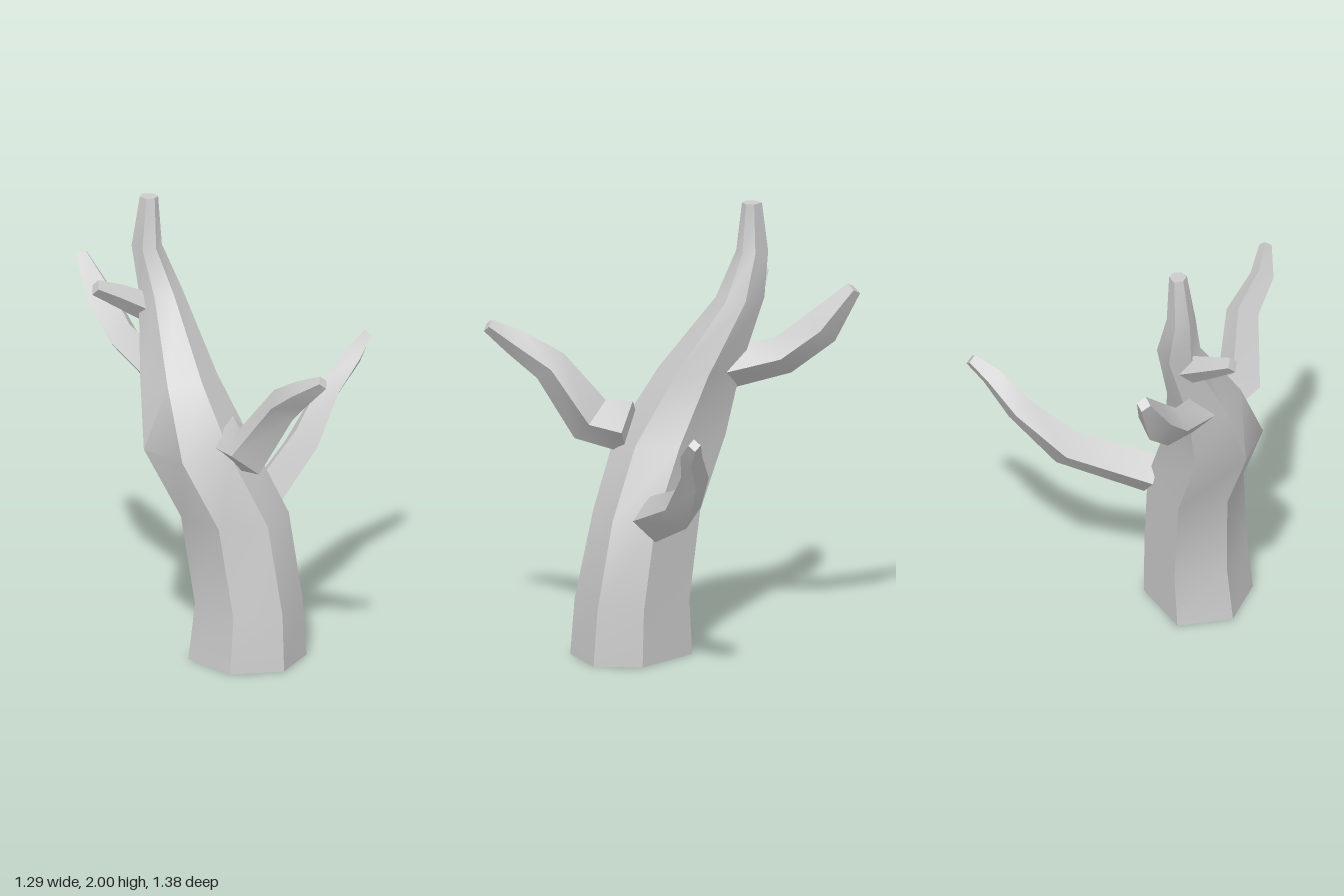
import * as THREE from 'three';
import { toCreasedNormals } from 'three/addons/utils/BufferGeometryUtils.js';

// Skin a list of equal-length rings (Vector3 arrays) and cap both ends.
function loft(name, rings, material) {
  const n = rings[0].length, last = (rings.length - 1) * n, index = [];
  for (let r = 0; r < rings.length - 1; r++) {
    for (let i = 0; i < n; i++) {
      const a = r * n + i, b = r * n + (i + 1) % n;
      index.push(a, a + n, b, b, a + n, b + n);
    }
  }
  for (let i = 1; i < n - 1; i++) {
    index.push(0, i, i + 1, last, last + i + 1, last + i);
  }
  const geo = new THREE.BufferGeometry().setFromPoints(rings.flat());
  geo.setIndex(index);
  const mesh = new THREE.Mesh(toCreasedNormals(geo, 0.55), material);
  mesh.name = name;
  return mesh;
}

// Four-sided tapering branch; each stop is [x, y, z, radius].
function branch(name, stops, material) {
  const pts = stops.map(s => new THREE.Vector3(s[0], s[1], s[2]));
  const rings = pts.map((p, i) => {
    const before = pts[Math.max(i - 1, 0)], after = pts[Math.min(i + 1, pts.length - 1)];
    const dir = after.clone().sub(before).normalize();
    const up = new THREE.Vector3(0, 1, 0).addScaledVector(dir, -dir.y).normalize();
    const side = up.clone().cross(dir);
    return [0, 1, 2, 3].map(k => p.clone()
      .addScaledVector(up, stops[i][3] * Math.cos(k * Math.PI / 2))
      .addScaledVector(side, stops[i][3] * 0.9 * Math.sin(k * Math.PI / 2)));
  });
  return loft(name, rings, material);
}

export function createModel() {
  const group = new THREE.Group();
  group.name = 'bareTree';
  const bark = new THREE.MeshStandardMaterial({ color: 0xcccccc });

  // Trunk: an uneven hexagon fitted to [y, xMin, xMax, zMin, zMax] at each level
  const hexagon = [[1, 0.08], [0.5, 0.98], [-0.42, 1], [-1, 0], [-0.6, -1], [0.6, -0.75]];
  const levels = [
    [0, -0.265, 0.25, -0.13, 0.32],
    [0.25, -0.235, 0.235, -0.13, 0.3],
    [0.64, -0.29, 0.18, -0.15, 0.24],
    [0.95, -0.45, 0.03, -0.18, 0.225],
    [1.25, -0.45, -0.115, -0.24, 0.07],
    [1.58, -0.43, -0.24, -0.355, -0.17],
    [1.78, -0.457, -0.325, -0.35, -0.23],
    [2, -0.42, -0.34, -0.335, -0.26],
  ];
  const trunkRings = levels.map(([y, x0, x1, z0, z1]) => hexagon.map(([u, v]) =>
    new THREE.Vector3((x0 + x1) / 2 + u * (x1 - x0) / 2, y, (z0 + z1) / 2 + v * (z1 - z0) / 2)));
  group.add(loft('trunk', trunkRings, bark));

  // Branches, from inside the trunk out to the tip
  const branches = {
    leftBranch: [[0.08, 0.65, -0.08, 0.1], [0.3, 0.79, -0.38, 0.09],
      [0.44, 0.98, -0.53, 0.068], [0.56, 1.11, -0.59, 0.052], [0.63, 1.185, -0.65, 0.03]],
    frontBranch: [[-0.07, 1.0, 0.13, 0.12], [-0.03, 1.02, 0.31, 0.11],
      [0.1, 1.27, 0.43, 0.08], [0.155, 1.37, 0.58, 0.06], [0.24, 1.45, 0.665, 0.03]],
    backBranch: [[-0.36, 1.24, -0.17, 0.09], [-0.47, 1.31, -0.4, 0.085],
      [-0.545, 1.44, -0.55, 0.085], [-0.62, 1.615, -0.67, 0.035]],
    rightTwig: [[-0.38, 1.5, -0.25, 0.065], [-0.53, 1.58, -0.22, 0.05], [-0.63, 1.63, -0.19, 0.035]],
  };
  for (const [name, stops] of Object.entries(branches)) group.add(branch(name, stops, bark));
  return group;
}
